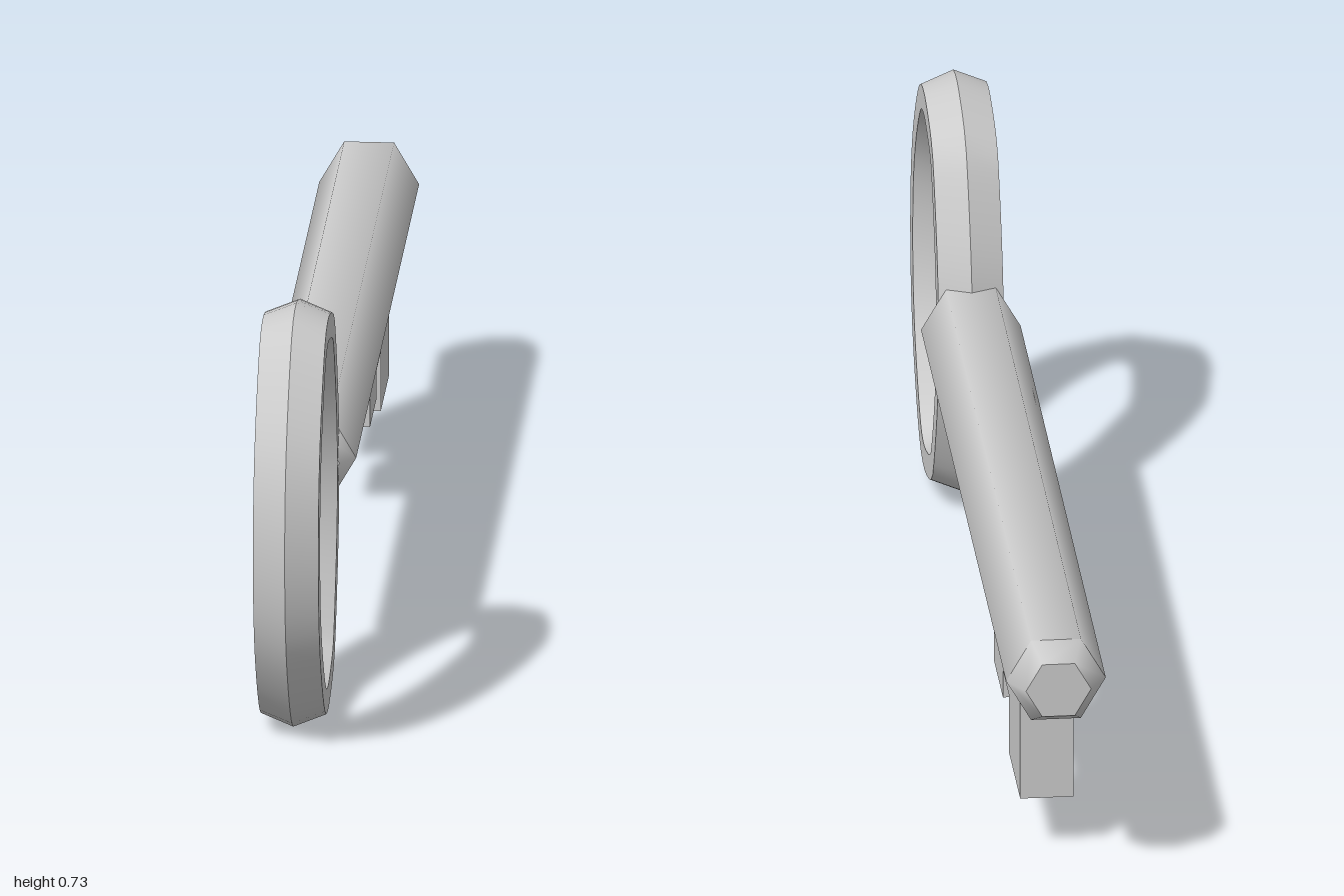
import * as THREE from 'three';

const material = new THREE.MeshStandardMaterial({ color: 0xcccccc });
const BOW_Y = 0.368;
const SHAFT_Y = 0.386;

function part(name, geometry) {
  const mesh = new THREE.Mesh(geometry, material);
  mesh.name = name;
  return mesh;
}

// Ring with a hexagonal section swept round a closed path; section edges stay sharp
function bowGeometry() {
  const upper = [[0.925, 0.53], [0.81, 0.675], [0.755, 0.692], [0.70, 0.685],
    [0.62, 0.655], [0.59, 0.615], [0.53, 0.48]];
  const lower = upper.map(([z, y]) => [z, 2 * BOW_Y - y]).reverse();
  const path = [[0.957, BOW_Y], ...upper, [0.513, BOW_Y], ...lower];
  const curve = new THREE.CatmullRomCurve3(
    path.map(([z, y]) => new THREE.Vector3(0, y, z)), true, 'centripetal');

  const section = [[0, 0.043], [0.055, 0.021], [0.055, -0.021],
    [0, -0.043], [-0.055, -0.021], [-0.055, 0.021]];
  const steps = 64;
  const positions = [];
  const index = [];
  section.forEach((a, side) => {
    const b = section[(side + 1) % section.length];
    const base = positions.length / 3;
    for (let i = 0; i < steps; i++) {
      const p = curve.getPointAt(i / steps);
      const t = curve.getTangentAt(i / steps);
      for (const [x, r] of [a, b]) positions.push(x, p.y - t.z * r, p.z + t.y * r);
      const j = base + 2 * i;
      const k = base + 2 * ((i + 1) % steps);
      index.push(j, j + 1, k, j + 1, k + 1, k);
    }
  });
  const geometry = new THREE.BufferGeometry();
  geometry.setAttribute('position', new THREE.Float32BufferAttribute(positions, 3));
  geometry.setIndex(index);
  geometry.computeVertexNormals();
  return geometry;
}

// Six-sided rod piece along z, with corners pointing to +x and -x
function rod(name, rFront, rBack, zFront, zBack, open = false) {
  const g = new THREE.CylinderGeometry(rFront, rBack, zFront - zBack, 6, 1, open);
  g.rotateX(Math.PI / 2);
  g.rotateZ(Math.PI / 6);
  g.translate(0, SHAFT_Y, (zFront + zBack) / 2);
  return part(name, g);
}

// Notched plate under the shaft
function bitGeometry() {
  const outline = [[0.355, 0.36], [0.355, 0.155], [0.505, 0.155], [0.505, 0.205],
    [0.605, 0.205], [0.605, 0.10], [0.80, 0.10], [0.80, 0.36]];
  const shape = new THREE.Shape(outline.map(([u, v]) => new THREE.Vector2(u, v)));
  const g = new THREE.ExtrudeGeometry(shape, { depth: 0.09, bevelEnabled: false });
  g.translate(0, 0, -0.045);
  g.rotateY(Math.PI / 2);
  return g;
}

export function createModel() {
  const key = new THREE.Group();
  key.name = 'key';
  key.add(part('bow', bowGeometry()));
  key.add(rod('shaftCollar', 0.058, 0.084, 0.53, 0.5));
  key.add(rod('shaft', 0.084, 0.084, 0.5, -0.955, true));
  key.add(rod('shaftTip', 0.084, 0.055, -0.955, -1));
  key.add(part('bit', bitGeometry()));
  return key;
}
